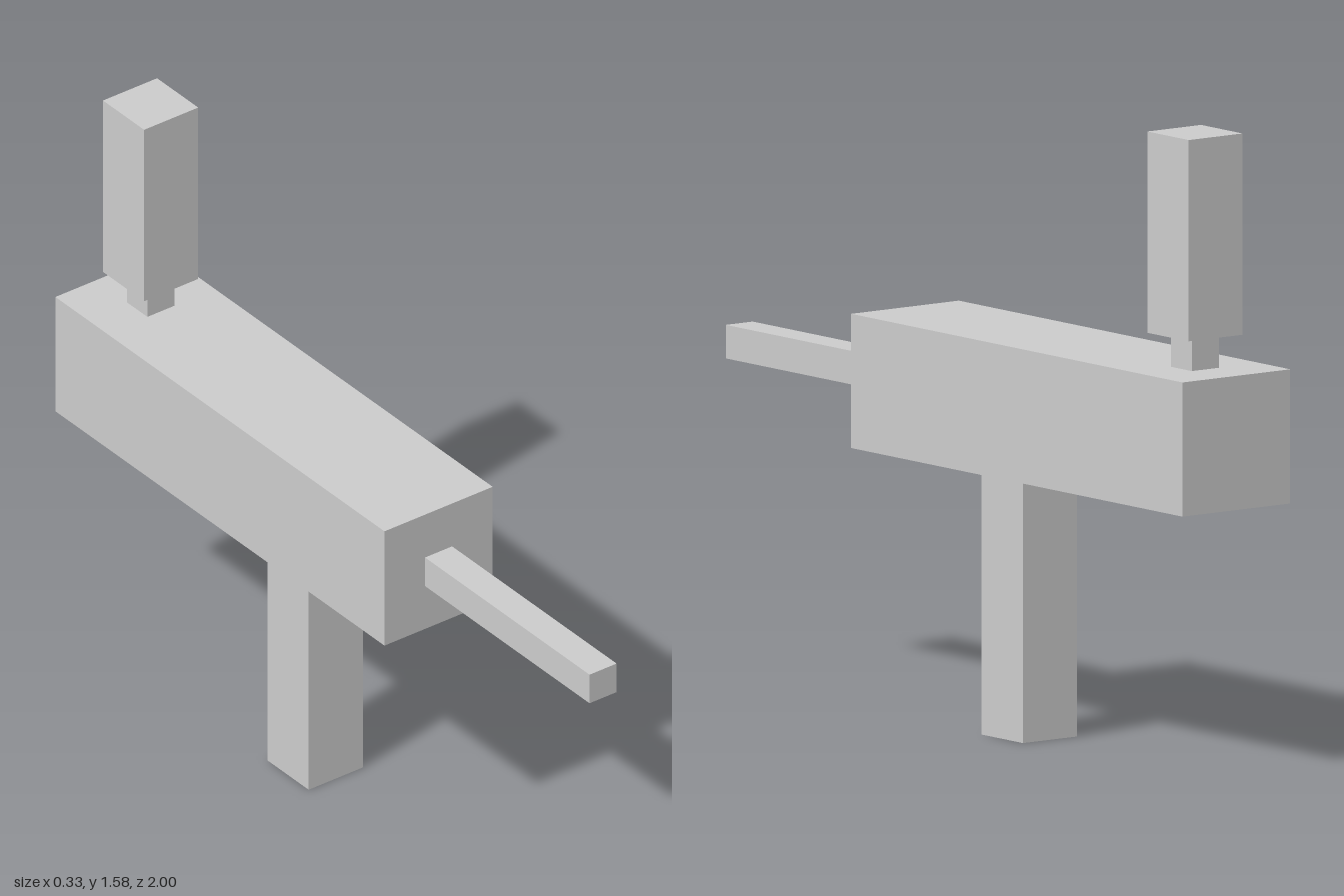
import * as THREE from 'three';

const U = 1 / 12; // all sizes are whole or half multiples of this unit

export function createModel() {
  const model = new THREE.Group();
  const material = new THREE.MeshStandardMaterial({ color: 0xcccccc, flatShading: true });

  // Box centred on x = 0, spanning the given y and z ranges in units
  function addBox(name, width, [y0, y1], [z0, z1]) {
    const geometry = new THREE.BoxGeometry(width * U, (y1 - y0) * U, (z1 - z0) * U);
    const mesh = new THREE.Mesh(geometry, material);
    mesh.name = name;
    mesh.position.set(0, (y0 + y1) / 2 * U, (z0 + z1) / 2 * U);
    model.add(mesh);
  }

  addBox('body', 4, [8, 12], [-12, 4]);
  addBox('barrel', 1, [9.5, 10.5], [4, 12]);
  addBox('grip', 2, [0, 8], [-3, -1]);
  // Upright block on a narrow neck at the rear
  addBox('neck', 1, [12, 13], [-10.5, -9.5]);
  addBox('upperBlock', 2, [13, 19], [-11, -9]);

  return model;
}
